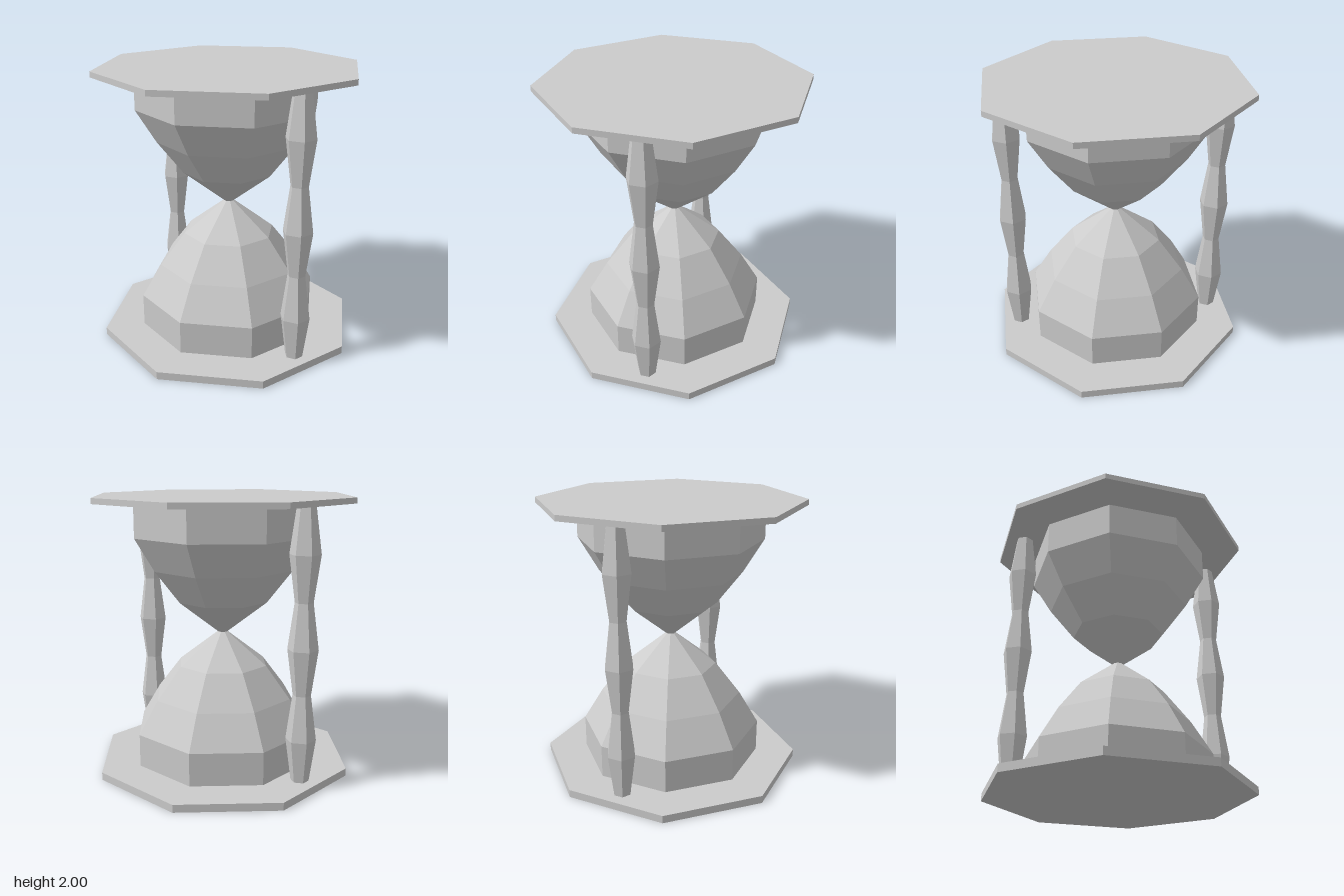
import * as THREE from 'three';

const material = new THREE.MeshStandardMaterial({ color: 0xcccccc, flatShading: true });

// Faceted turned part from [radius, y] pairs, listed bottom to top
function turned(name, profile, sides, startAngle) {
  const points = profile.map(([r, y]) => new THREE.Vector2(r, y));
  const mesh = new THREE.Mesh(new THREE.LatheGeometry(points, sides, startAngle), material);
  mesh.name = name;
  return mesh;
}

// Octagon with flat sides facing the axes; radii given to the flats
function octagonal(name, profile) {
  const toCorner = 1 / Math.cos(Math.PI / 8);
  return turned(name, profile.map(([r, y]) => [r * toCorner, y]), 8, Math.PI / 8);
}

export function createModel() {
  const group = new THREE.Group();

  // End plates
  const plate = (name, y0, y1) =>
    octagonal(name, [[0, y0], [0.882, y0], [0.882, y1], [0, y1]]);
  group.add(plate('bottomPlate', 0, 0.056), plate('topPlate', 1.96, 2));

  // Two glass bulbs meeting at a narrow neck
  group.add(octagonal('glassBulbs', [
    [0.615, 0.056], [0.615, 0.295], [0.482, 0.535], [0.312, 0.772],
    [0.033, 1.008],
    [0.312, 1.245], [0.482, 1.482], [0.615, 1.72], [0.615, 1.96],
  ]));

  // Hexagonal posts, alternately narrow and wide
  const postProfile = [0.05, 0.363, 0.684, 1.004, 1.325, 1.645, 1.962]
    .map((y, i) => [i % 2 ? 0.106 : 0.063, y]);
  for (const [name, z] of [['frontPost', 0.753], ['backPost', -0.747]]) {
    const post = turned(name, postProfile, 6, Math.PI / 6);
    post.position.set(0.015, 0, z);
    group.add(post);
  }

  return group;
}
